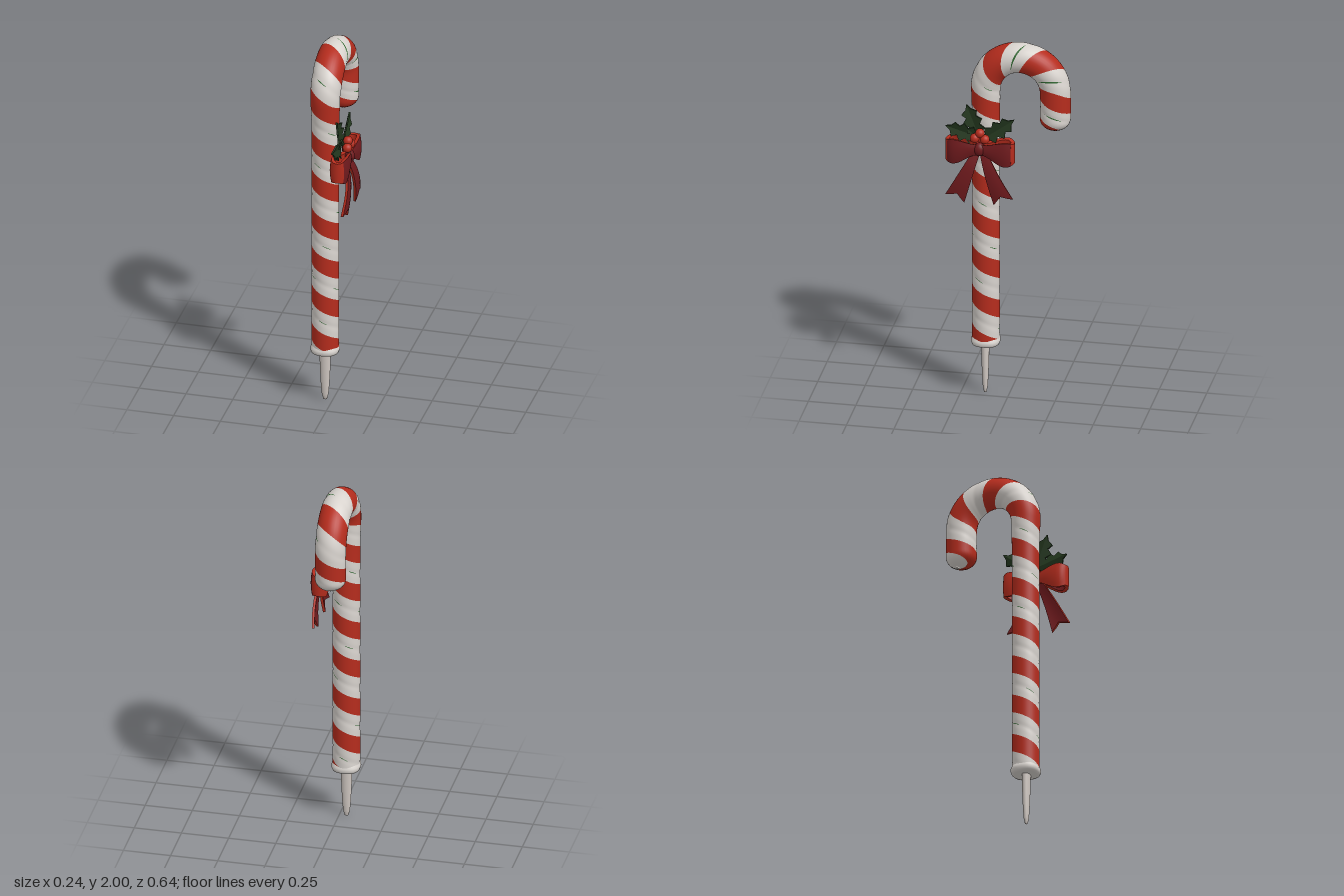
import * as THREE from 'three';

const mat = (name, color) => {
  const m = new THREE.MeshStandardMaterial({ color });
  m.name = name;
  return m;
};

// Smooth grid from a surface function; it faces along Pu x Pv
function grid(nu, nv, P) {
  const pos = [], idx = [];
  for (let i = 0; i <= nu; i++)
    for (let j = 0; j <= nv; j++) pos.push(...P(i / nu, j / nv).toArray());
  for (let i = 0; i < nu; i++)
    for (let j = 0; j < nv; j++) {
      const a = i * (nv + 1) + j, b = a + nv + 1;
      idx.push(a, b, b + 1, a, b + 1, a + 1);
    }
  const g = new THREE.BufferGeometry();
  g.setAttribute('position', new THREE.Float32BufferAttribute(pos, 3));
  g.setIndex(idx);
  g.computeVertexNormals();
  return g;
}

function add(parent, name, geometry, material) {
  const m = new THREE.Mesh(geometry, material);
  m.name = name;
  parent.add(m);
  return m;
}

// Thick sheet following f(u, v), with faces and rim in separate colours
function sheet(parent, name, f, nu, nv, th, face, rim) {
  const e = 0.002, h = th / 2;
  const at = (u, v, k) => {
    const du = f(Math.min(u + e, 1), v).sub(f(Math.max(u - e, 0), v));
    const dv = f(u, Math.min(v + e, 1)).sub(f(u, Math.max(v - e, 0)));
    return f(u, v).addScaledVector(du.cross(dv).normalize(), k * h);
  };
  add(parent, name + 'Front', grid(nu, nv, (u, v) => at(u, v, 1)), face);
  add(parent, name + 'Back', grid(nu, nv, (u, v) => at(1 - u, v, -1)), face);
  add(parent, name + 'EdgeA', grid(nu, 1, (u, w) => at(u, 1, 1 - 2 * w)), rim);
  add(parent, name + 'EdgeB', grid(nu, 1, (u, w) => at(u, 0, 2 * w - 1)), rim);
  add(parent, name + 'EndA', grid(nv, 1, (v, w) => at(1, v, 2 * w - 1)), rim);
  add(parent, name + 'EndB', grid(nv, 1, (v, w) => at(0, v, 1 - 2 * w)), rim);
}

// Cane: straight shaft, half-circle hook, rounded tip
const { clamp, smoothstep } = THREE.MathUtils;
const CX = -0.039, CZ = 0.122, BEND_Y = 1.737, BEND_R = 0.183, S0 = 0.3, S1 = 2.52;
const PITCH = 0.224, RED_HALF = 0.05, GROOVE = PITCH / 2;

function canePoint(s, theta, w, lift) {
  s = clamp(s - 0.025 * smoothstep(s, 2.36, 2.5), S0, S1);
  const a = clamp((s - BEND_Y) / BEND_R, 0, Math.PI);
  const straight = s < BEND_Y ? s - BEND_Y : -Math.max(0, s - BEND_Y - Math.PI * BEND_R);
  const y = BEND_Y + BEND_R * Math.sin(a) + straight;
  const z = CZ - BEND_R + BEND_R * Math.cos(a);
  let r = 0.072 + 0.0085 * smoothstep(s, 1.55, 1.9);
  r += lift - 0.002 * Math.exp(-(((w - GROOVE) / 0.016) ** 2));
  const t = Math.max(0, (s - (S1 - 0.062)) / 0.062);
  r *= Math.sqrt(Math.max(0, 1 - t * t));
  const n = r * Math.sin(theta);
  return new THREE.Vector3(CX + r * Math.cos(theta), y + n * Math.sin(a), z + n * Math.cos(a));
}

// Helical band over a range of turns; taper 1 narrows both ends to points
function band(mid, half, turn0, turn1, across, along, lift = 0, taper = 0) {
  return grid(across, along, (u, v) => {
    const w = mid + half * (2 * u - 1) * (1 - taper + taper * Math.sin(Math.PI * v));
    const turn = turn0 + (turn1 - turn0) * v;
    return canePoint(0.762 + PITCH * turn + w, turn * 2 * Math.PI, w, lift);
  });
}

export function createModel() {
  const white = mat('candy white', 0xd8d3ce);
  const red = mat('candy red', 0xb52c1d);
  const darkRed = mat('ribbon dark red', 0x6f1a1d);
  const leafGreen = mat('holly green', 0x24381f);
  const seamGreen = mat('seam green', 0x2f6630);
  const grey = mat('stake grey', 0xd0c8c2);

  const model = new THREE.Group();
  model.name = 'candyCaneStake';

  // Striped cane
  const cane = new THREE.Group();
  cane.name = 'cane';
  model.add(cane);
  add(cane, 'redStripe', band(0, RED_HALF, -3, 9, 10, 432), red);
  add(cane, 'whiteStripe', band(GROOVE, GROOVE - RED_HALF, -3, 9, 14, 432), white);

  // Broken green line along the shaft seam, bolder strokes on the hook
  for (let i = 0; i < 42; i++)
    if ((i * 7) % 5 < 2)
      add(cane, 'seamDash', band(GROOVE, 0.002, -2.3 + i * 0.163, -2.2 + i * 0.163, 1, 6, 0.001, 0.5), seamGreen);
  for (const [t0, t1] of [[4.9, 5.24], [5.88, 6.14], [6.9, 7.1]])
    add(cane, 'hookSeam', band(GROOVE, 0.0045, t0, t1, 2, 14, 0.001, 1), seamGreen);

  // Lumpy collar at the foot of the shaft
  const collarPts = [[0, 0.28], [0.06, 0.28], [0.073, 0.285], [0.078, 0.298], [0.077, 0.312], [0.068, 0.327]];
  const collarGeo = new THREE.LatheGeometry(collarPts.map(p => new THREE.Vector2(...p)), 40);
  const cp = collarGeo.attributes.position;
  for (let i = 0; i < cp.count; i++) {
    const k = 1 - 0.03 * Math.cos(4 * Math.atan2(cp.getZ(i), cp.getX(i)));
    cp.setX(i, cp.getX(i) * k);
    cp.setZ(i, cp.getZ(i) * k);
  }
  collarGeo.computeVertexNormals();
  add(model, 'collar', collarGeo, white).position.set(CX, 0, CZ);

  // Flattened ground stake
  const stakePts = [[0, 0], [0.01, 0.005], [0.018, 0.035], [0.023, 0.09], [0.027, 0.17], [0.031, 0.285]];
  const stake = add(model, 'stake',
    new THREE.LatheGeometry(stakePts.map(p => new THREE.Vector2(...p)), 20), grey);
  stake.position.set(CX, 0, CZ + 0.003);
  stake.scale.z = 0.7;

  // Decoration faces +x: local x runs toward -z, local z is height off the cane
  const deco = new THREE.Group();
  deco.name = 'bowAndHolly';
  deco.rotation.y = Math.PI / 2;
  model.add(deco);
  const U = -0.13;

  // Bow loops: front panel and folded-back part, pinched at the knot
  const loop = new THREE.CatmullRomCurve3([
    [0, 0.092], [0.06, 0.1], [0.13, 0.104], [0.162, 0.094], [0.172, 0.07],
    [0.158, 0.047], [0.1, 0.045], [0.01, 0.068]].map(([x, z]) => new THREE.Vector3(x, 0, z)));
  for (const s of [1, -1]) {
    const side = s > 0 ? 'right' : 'left';
    const part = (t0, t1) => (u, v) => {
      const p = loop.getPoint(t0 + (t1 - t0) * u), w = 2 * v - 1;
      const k = smoothstep(p.x, 0.015, 0.14);
      const half = 0.026 + 0.04 * k - 0.01 * smoothstep(p.x, 0.145, 0.175);
      const z = p.z + 0.25 * (p.z - 0.074) * (1 - w * w);
      return new THREE.Vector3(U + s * p.x, 1.44 - 0.015 * k + s * w * half, z);
    };
    sheet(deco, side + 'BowLoopFront', part(0, 0.42), 12, 6, 0.02, darkRed, red);
    sheet(deco, side + 'BowLoopBack', part(0.42, 1), 14, 6, 0.02, red, red);

    // Swallow-tailed ribbon ends
    const depth = new THREE.CatmullRomCurve3([0.075, 0.1, 0.106, 0.098].map((z, i) => new THREE.Vector3(i, 0, z)));
    const tail = (t, v) => {
      const w = 2 * v - 1, k = t * (1 - 0.13 * (1 - Math.abs(w)));
      const half = 0.018 + 0.035 * k;
      return new THREE.Vector3(
        U + s * (0.015 + 0.113 * k) + w * half * 0.92,
        1.425 - 0.27 * k + s * w * half * 0.36,
        depth.getPoint(k).z + 0.008 * k * (1 - w * w));
    };
    sheet(deco, side + 'BowTail', tail, 14, 4, 0.014, darkRed, red);
  }
  const knot = add(deco, 'knot', new THREE.SphereGeometry(0.036, 20, 14), darkRed);
  knot.position.set(U, 1.44, 0.092);
  knot.scale.set(0.9, 1.02, 0.75);

  // Berries
  for (const [x, y, z] of [[-0.026, 1.5, 0.088], [0.028, 1.498, 0.09], [0.001, 1.528, 0.084]])
    add(deco, 'berry', new THREE.SphereGeometry(0.025, 18, 12), red).position.set(U + x, y, z);

  // Holly leaves: two spiky halves folded along the midrib
  const spikes = [[0.12, 0.4], [0.22, 0.95], [0.36, 0.55], [0.5, 1], [0.62, 0.5], [0.76, 0.8], [0.85, 0.28]];
  const holly = (x, y, tipX, tipY, width, z) => {
    const leaf = new THREE.Group();
    leaf.name = 'hollyLeaf';
    const L = Math.hypot(tipX - x, tipY - y);
    for (const s of [1, -1]) {
      const shape = new THREE.Shape();
      shape.moveTo(0, 0);
      for (const [a, b] of spikes) shape.lineTo(a * L, s * b * width);
      shape.lineTo(L, 0);
      const g = new THREE.ExtrudeGeometry(shape, { depth: 0.009, bevelEnabled: false });
      const p = g.attributes.position;
      for (let i = 0; i < p.count; i++) p.setZ(i, p.getZ(i) + 0.3 * Math.abs(p.getY(i)) - 0.008);
      g.computeVertexNormals();
      add(leaf, 'leafHalf', g, leafGreen);
    }
    leaf.position.set(x, y, z);
    leaf.rotation.z = Math.atan2(tipY - y, tipX - x);
    deco.add(leaf);
  };
  holly(-0.14, 1.49, -0.317, 1.54, 0.052, 0.05);
  holly(-0.14, 1.49, -0.208, 1.668, 0.054, 0.046);
  holly(-0.115, 1.485, 0.045, 1.602, 0.053, 0.05);

  return model;
}
